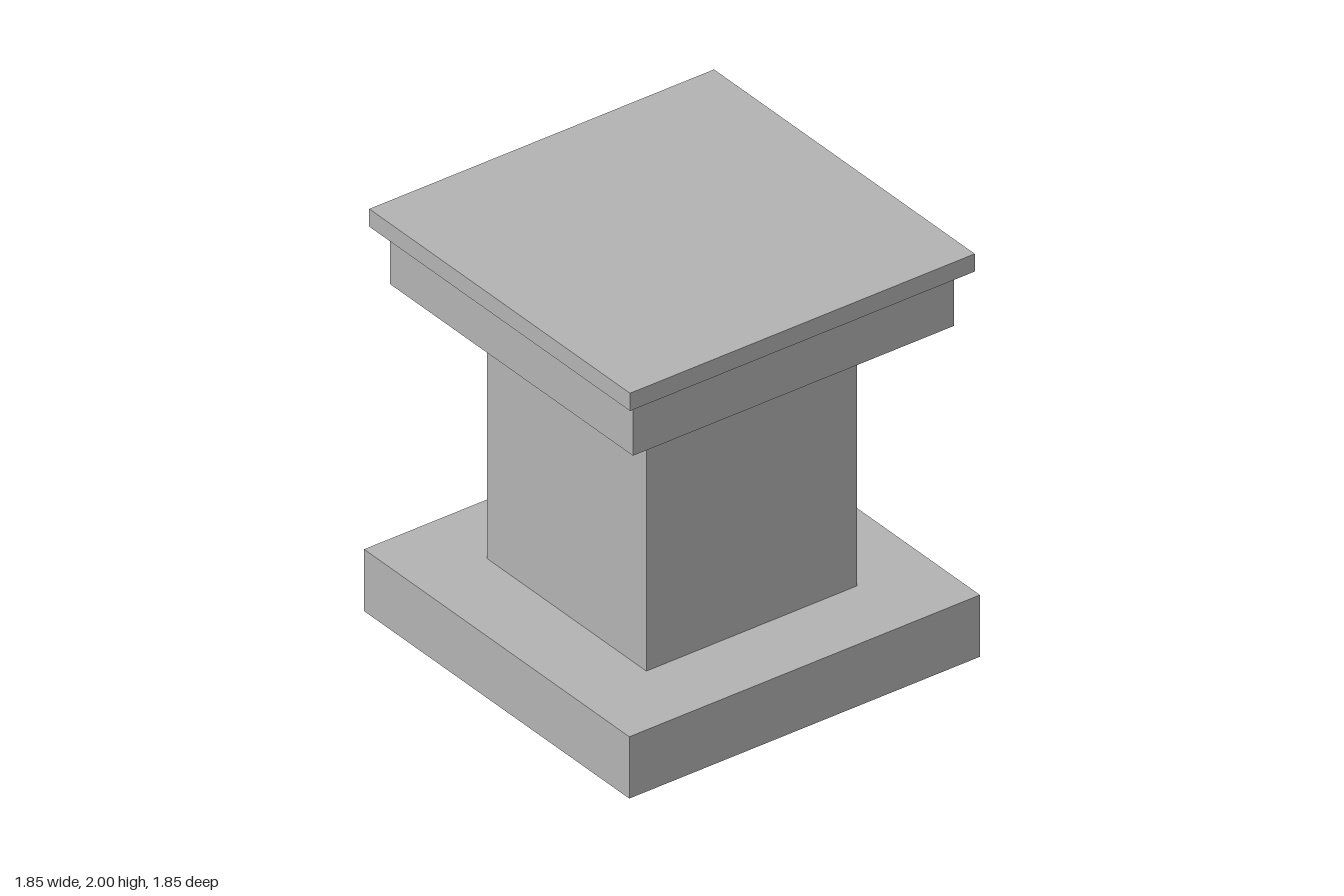
import * as THREE from 'three';

// Square pedestal: stacked blocks, each [name, width, bottom, top]
const BLOCKS = [
  ['base', 1.846, 0, 0.307],
  ['shaft', 1.11, 0.307, 1.634],
  ['capital', 1.69, 1.634, 1.912],
  ['topSlab', 1.815, 1.912, 2],
];

export function createModel() {
  const group = new THREE.Group();
  group.name = 'pedestal';
  const stone = new THREE.MeshStandardMaterial({ color: 0xb3b3b3 });
  stone.name = 'grey stone';

  for (const [name, width, bottom, top] of BLOCKS) {
    const block = new THREE.Mesh(new THREE.BoxGeometry(width, top - bottom, width), stone);
    block.name = name;
    block.position.y = (bottom + top) / 2;
    group.add(block);
  }
  return group;
}
